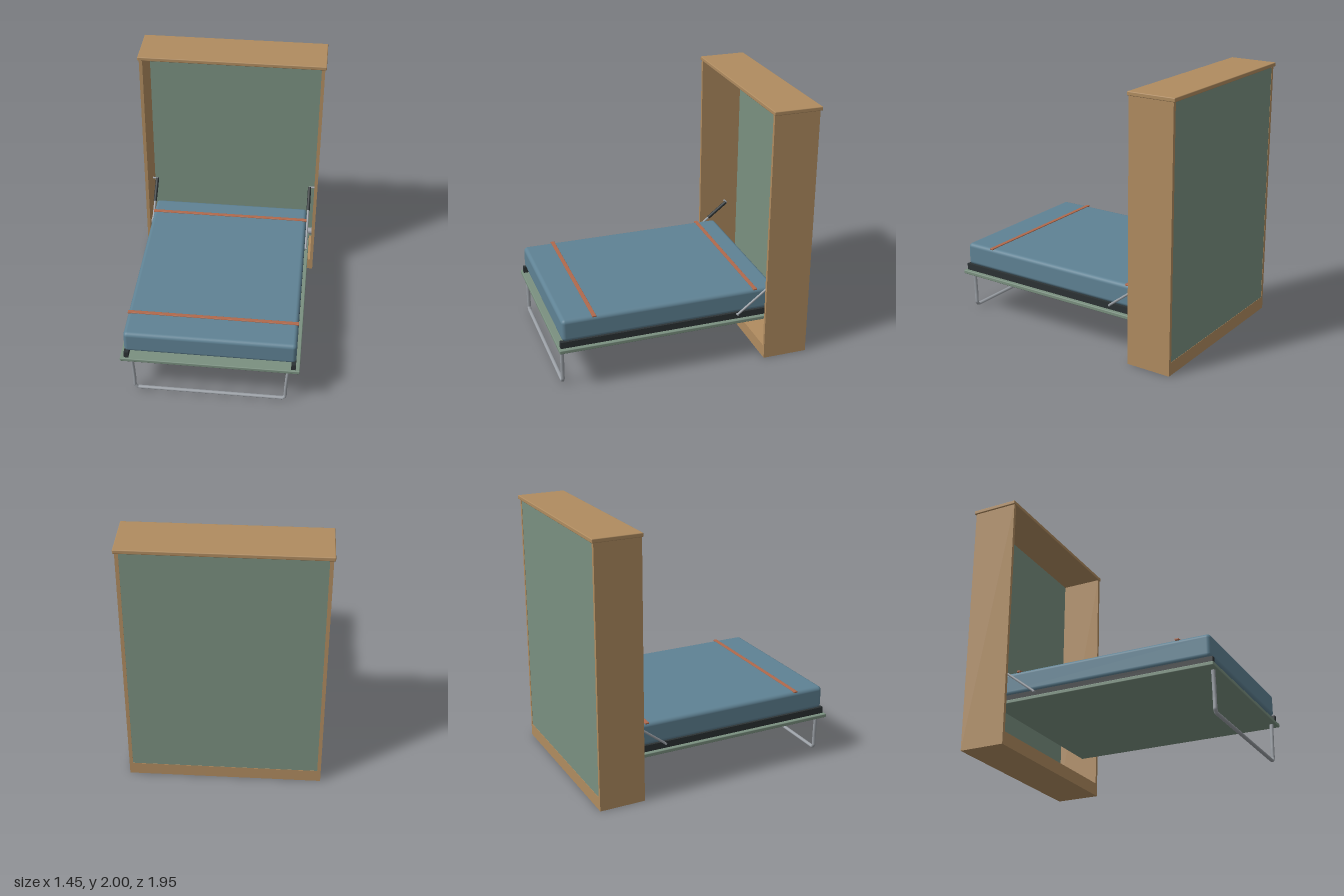
import * as THREE from 'three';
import { RoundedBoxGeometry } from 'three/addons/geometries/RoundedBoxGeometry.js';

const material = (color) => new THREE.MeshStandardMaterial({ color });

export function createModel() {
  const model = new THREE.Group();
  const wood = material(0xb08c60);
  const green = material(0x7a9080);
  const blue = material(0x5f8294);
  const black = material(0x2c3234);
  const steel = material(0x9a9fa5);
  const orange = material(0xb0694c);

  const add = (name, geometry, mat, parent = model) => {
    const mesh = new THREE.Mesh(geometry, mat);
    mesh.name = name;
    parent.add(mesh);
    return mesh;
  };

  // Box given by its limits on each axis; a radius rounds its edges
  const box = (name, [x0, x1], [y0, y1], [z0, z1], mat, radius = 0, segments = 2) => {
    const size = [x1 - x0, y1 - y0, z1 - z0];
    const geometry = radius
      ? new RoundedBoxGeometry(...size, segments, radius)
      : new THREE.BoxGeometry(...size);
    const mesh = add(name, geometry, mat);
    mesh.position.set((x0 + x1) / 2, (y0 + y1) / 2, (z0 + z1) / 2);
    return mesh;
  };

  // Round bar between two points
  const bar = (name, a, b, radius, mat) => {
    const dir = b.clone().sub(a);
    const mesh = add(name, new THREE.CylinderGeometry(radius, radius, dir.length(), 16), mat);
    mesh.position.copy(a).add(b).multiplyScalar(0.5);
    mesh.quaternion.setFromUnitVectors(new THREE.Vector3(0, 1, 0), dir.normalize());
    return mesh;
  };

  // Cabinet
  box('cabinetTop', [-0.727, 0.727], [1.97, 2], [-0.977, -0.605], wood, 0.006);
  box('cabinetBase', [-0.69, 0.69], [0, 0.1], [-0.962, -0.612], wood);
  box('cabinetBack', [-0.69, 0.69], [0.1, 1.97], [-0.96, -0.945], green);

  // Folding panel with mattress
  box('bedPanel', [-0.67, 0.67], [0.318, 0.346], [-0.73, 0.977], green, 0.006);
  box('mattress', [-0.64, 0.64], [0.395, 0.57], [-0.72, 0.948], blue, 0.03, 4);
  for (let i = 0; i < 12; i++) {
    const z = -0.66 + i * 0.14;
    box('slat', [-0.606, 0.606], [0.377, 0.388], [z - 0.03, z + 0.03], wood);
  }

  // Straps across the mattress
  for (const z of [-0.552, 0.705]) {
    box('strap', [-0.642, 0.642], [0.564, 0.576], [z - 0.015, z + 0.015], orange, 0.003);
  }

  // Mirrored parts
  for (const s of [-1, 1]) {
    const side = (a, b) => (s > 0 ? [a, b] : [-b, -a]);
    box('cabinetSide', side(0.69, 0.716), [0, 1.97], [-0.962, -0.612], wood);
    box('bedRail', side(0.606, 0.64), [0.346, 0.396], [-0.72, 0.962], black);

    // Gas strut: thin rod sliding into a dark cylinder
    const low = new THREE.Vector3(s * 0.65, 0.385, -0.41);
    const high = new THREE.Vector3(s * 0.65, 0.71, -0.83);
    const joint = low.clone().lerp(high, 0.62);
    bar('strutRod', low, joint, 0.009, steel);
    bar('strutCylinder', joint, high, 0.014, black);
    for (const end of [low, high]) {
      const inner = end === low ? 0.635 : 0.645;
      bar('strutPin', new THREE.Vector3(s * inner, end.y, end.z),
        new THREE.Vector3(s * (end === low ? 0.66 : 0.69), end.y, end.z), 0.008, steel);
    }

    // Hinge between the panel and the cabinet side
    bar('hinge', new THREE.Vector3(s * 0.64, 0.355, -0.69),
      new THREE.Vector3(s * 0.69, 0.355, -0.69), 0.028, steel);
  }

  // Folding leg: one bent tube, a little deeper than wide
  const half = [[0.584, 0.32], [0.577, 0.22], [0.572, 0.12], [0.572, 0.045], [0.555, 0.023]];
  const points = [
    ...half.map(([x, y]) => new THREE.Vector3(-x, y, 0)),
    new THREE.Vector3(0, 0.023, 0),
    ...half.slice().reverse().map(([x, y]) => new THREE.Vector3(x, y, 0)),
  ];
  const path = new THREE.CurvePath();
  for (let i = 1; i < points.length; i++) path.add(new THREE.LineCurve3(points[i - 1], points[i]));
  const leg = add('foldingLeg', new THREE.TubeGeometry(path, 160, 0.012, 12), steel);
  leg.scale.z = 1.25;
  leg.position.z = 0.941;

  return model;
}
